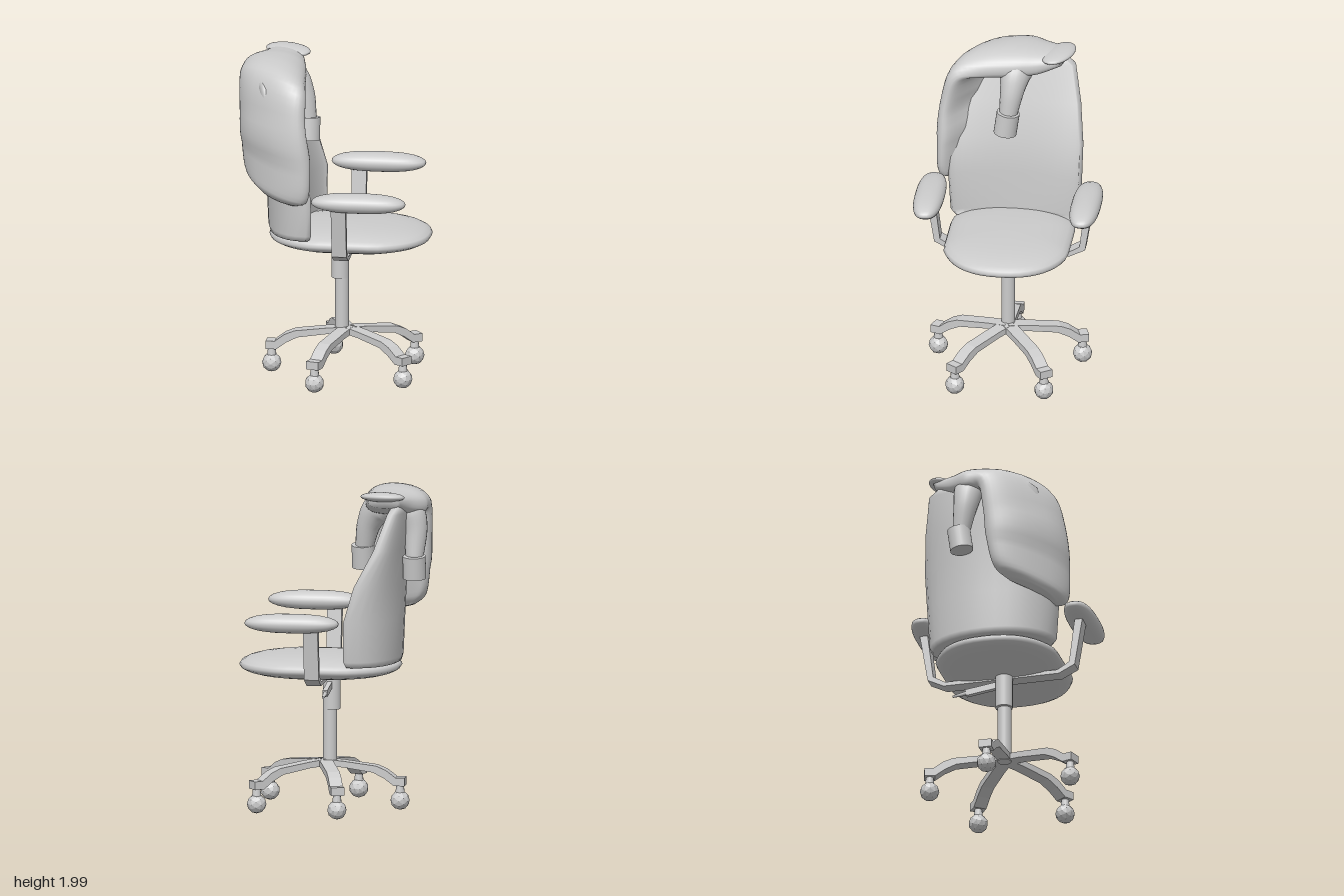
import * as THREE from 'three';

const V = (x, y, z) => new THREE.Vector3(x, y, z);
const material = new THREE.MeshStandardMaterial({ color: 0xcccccc, side: THREE.DoubleSide });
const flat = new THREE.MeshStandardMaterial({ color: 0xcccccc, flatShading: true });

function part(name, geometry, parent, mat = material) {
  const mesh = new THREE.Mesh(geometry, mat);
  mesh.name = name;
  parent.add(mesh);
  return mesh;
}

// Skin closed rings (counter-clockwise about the direction they advance) and cap both ends
function loft(rings) {
  const n = rings[0].length, pos = [], idx = [];
  rings.forEach(r => r.forEach(p => pos.push(p.x, p.y, p.z)));
  for (let j = 0; j < rings.length - 1; j++) {
    for (let i = 0; i < n; i++) {
      const a = j * n + i, b = j * n + (i + 1) % n;
      idx.push(a, b, b + n, a, b + n, a + n);
    }
  }
  for (const end of [0, rings.length - 1]) {
    const c = rings[end].reduce((s, p) => s.add(p), V(0, 0, 0)).divideScalar(n);
    const ci = pos.push(c.x, c.y, c.z) / 3 - 1;
    for (let i = 0; i < n; i++) {
      const a = end * n + i, b = end * n + (i + 1) % n;
      if (end) idx.push(a, b, ci); else idx.push(b, a, ci);
    }
  }
  const g = new THREE.BufferGeometry();
  g.setAttribute('position', new THREE.Float32BufferAttribute(pos, 3));
  g.setIndex(idx);
  g.computeVertexNormals();
  return g;
}

const power = (v, e) => Math.sign(v) * Math.abs(v) ** e;

// Lens-shaped cushion: a superellipse plan, optionally with clipped sides
function cushion(a, b, h, e, clip = b) {
  const rings = [];
  for (let j = 0; j <= 12; j++) {
    const t = -Math.PI / 2 + (0.03 + 0.94 * j / 12) * Math.PI;
    const s = Math.cos(t) ** 0.75;
    rings.push(Array.from({ length: 48 }, (_, i) => {
      const q = i / 48 * Math.PI * 2;
      const z = THREE.MathUtils.clamp(-b * power(Math.sin(q), 2 / e), -clip, clip);
      return V(a * power(Math.cos(q), 2 / e) * s, h * Math.sin(t), z * s);
    }));
  }
  return loft(rings);
}

// Tapered tube along a curve
function taperedTube(points, radii) {
  const curve = new THREE.CatmullRomCurve3(points), steps = 18;
  const f = curve.computeFrenetFrames(steps);
  const rings = [];
  for (let j = 0; j <= steps; j++) {
    const u = j / steps, t = curve.getUtoTmapping(u) * (radii.length - 1);
    const k = Math.min(Math.floor(t), radii.length - 2);
    const r = THREE.MathUtils.lerp(radii[k], radii[k + 1], t - k);
    const c = curve.getPointAt(u);
    rings.push(Array.from({ length: 20 }, (_, i) => {
      const q = i / 20 * Math.PI * 2;
      return c.clone().addScaledVector(f.normals[j], r * Math.cos(q)).addScaledVector(f.binormals[j], r * Math.sin(q));
    }));
  }
  return loft(rings);
}

// Flat outline [u, y] extruded to a width, centred on its thickness
function slab(points, width) {
  const shape = new THREE.Shape(points.map(p => new THREE.Vector2(...p)));
  return new THREE.ExtrudeGeometry(shape, { depth: width, bevelEnabled: false }).translate(0, 0, -width / 2);
}

// Five-legged base with ball casters
function buildBase(chair) {
  const base = new THREE.Group();
  base.name = 'base';
  base.position.set(0.07, 0, 0.02);
  const profile = [[0, 0.27], [0.12, 0.262], [0.3, 0.235], [0.37, 0.2], [0.43, 0.155], [0.495, 0.155],
    [0.495, 0.205], [0.44, 0.205], [0.38, 0.25], [0.32, 0.275], [0.12, 0.3], [0, 0.31]];
  for (let i = 0; i < 5; i++) {
    const leg = new THREE.Group();
    leg.name = 'leg';
    leg.rotation.y = Math.PI + i * Math.PI * 0.4;
    part('legArm', slab(profile, 0.08), leg, flat);
    part('casterStem', new THREE.CylinderGeometry(0.022, 0.03, 0.06, 10), leg).position.set(0.462, 0.132, 0);
    part('casterBall', new THREE.IcosahedronGeometry(0.059, 1), leg, flat).position.set(0.462, 0.064, 0);
    base.add(leg);
  }
  chair.add(base);
  part('lowerColumn', new THREE.CylinderGeometry(0.042, 0.042, 0.38, 24), chair).position.set(0.036, 0.45, 0.02);
  part('upperColumn', new THREE.CylinderGeometry(0.053, 0.053, 0.22, 24), chair).position.set(0.026, 0.725, 0.02);
  // Height lever
  const lever = new THREE.Group();
  lever.name = 'lever';
  lever.position.set(0.03, 0.77, -0.02);
  lever.rotation.x = -0.14;
  part('leverBar', new THREE.BoxGeometry(0.03, 0.04, 0.2), lever).position.z = -0.1;
  part('leverTip', new THREE.CylinderGeometry(0.007, 0.014, 0.09, 8).rotateX(-Math.PI / 2), lever).position.z = -0.24;
  chair.add(lever);
}

// Bent bracket and padded rest, one per side
function buildArms(chair) {
  const outline = [[0, 0.81], [0.36, 0.81], [0.46, 0.86], [0.515, 1.2], [0.465, 1.2], [0.425, 0.88], [0.35, 0.835], [0, 0.835]];
  for (const s of [-1, 1]) {
    const bracket = part('armBracket', slab(outline, 0.09), chair, flat);
    bracket.rotation.y = -s * Math.PI / 2;
    bracket.position.x = 0.077;
    part('armPad', cushion(0.288, 0.09, 0.057, 2.6), chair).position.set(0.196, 1.207, s * 0.477);
  }
}

// Curved shell: [y, half width, wing x, rear x, front x]
function buildBackrest(chair) {
  const rows = [[0.925, 0.37, -0.12, -0.4, -0.19], [0.96, 0.393, -0.105, -0.41, -0.19], [1.2, 0.408, -0.105, -0.42, -0.2],
    [1.42, 0.408, -0.17, -0.43, -0.22], [1.64, 0.38, -0.285, -0.45, -0.29], [1.86, 0.338, -0.365, -0.47, -0.35],
    [1.91, 0.27, -0.39, -0.46, -0.38]];
  const n = 16;
  const rings = rows.map(([y, w, xe, xb, xf]) => {
    const ring = [];
    for (let i = 0; i <= n; i++) {
      const q = (i / n - 0.5) * Math.PI;
      ring.push(V(xe - 0.03 + (xb - xe + 0.03) * Math.cos(q) ** 0.9, y, w * Math.sin(q)));
    }
    for (let i = 0; i <= n; i++) {
      const q = (0.5 - i / n) * Math.PI;
      ring.push(V(xe + (xf - xe) * Math.cos(q) ** 1.4, y, (w - 0.015) * Math.sin(q)));
    }
    return ring;
  });
  part('backrest', loft(rings), chair);
}

// Draped shirt: body sections between a rear edge and a front edge
function buildShirt(chair) {
  const shirt = new THREE.Group();
  shirt.name = 'drapedShirt';
  // rear edge, front edge, outward direction, [half thickness, bulge]
  const sections = [
    [[-0.45, 1.24, 0.18], [-0.19, 1.155, 0.4], [-0.65, 0, 0.75], [0.03, 0.05]],
    [[-0.52, 1.31, 0.11], [-0.13, 1.19, 0.45], [-0.65, 0, 0.75], [0.065, 0.045]],
    [[-0.55, 1.48, 0.07], [-0.112, 1.4, 0.46], [-0.65, 0, 0.75], [0.075, 0.045]],
    [[-0.565, 1.7, 0.05], [-0.145, 1.68, 0.44], [-0.65, 0.1, 0.75], [0.075, 0.045]],
    [[-0.575, 1.86, 0.02], [-0.145, 1.85, 0.375], [-0.42, 0.65, 0.55], [0.08, 0.035]],
    [[-0.575, 1.885, -0.03], [-0.16, 1.88, 0.22], [-0.1, 1, 0.2], [0.085, 0.025]],
    [[-0.57, 1.89, -0.08], [-0.18, 1.89, 0.02], [0, 1, 0], [0.088, 0.018]],
    [[-0.49, 1.91, -0.19], [-0.205, 1.9, -0.12], [0, 1, 0], [0.07, 0.01]],
    [[-0.43, 1.935, -0.3], [-0.24, 1.93, -0.26], [0, 1, -0.2], [0.04, 0]]];
  const [A, B, N, K] = [0, 1, 2, 3].map(k => new THREE.CatmullRomCurve3(
    sections.map(s => V(s[k][0], s[k][1], s[k][2] ?? 0))));
  const rings = [];
  for (let j = 0; j <= 40; j++) {
    const [a, b, n, k] = [A, B, N, K].map(c => c.getPoint(j / 40));
    n.normalize();
    rings.push(Array.from({ length: 36 }, (_, i) => {
      const q = -i / 36 * Math.PI * 2, c = power(Math.cos(q), 0.8);
      return a.clone().lerp(b, 0.5 + c / 2).addScaledVector(n, k.x * power(Math.sin(q), 0.8) + k.y * (1 - c * c));
    }));
  }
  part('shirtBody', loft(rings), shirt);

  // Sleeves hanging in front of and behind the backrest, each with a cuff
  part('frontSleeve', taperedTube([V(-0.36, 1.88, -0.01), V(-0.265, 1.85, 0.01), V(-0.205, 1.76, 0.025), V(-0.165, 1.58, 0.05)],
    [0.09, 0.1, 0.075, 0.052]), shirt);
  part('rearSleeve', taperedTube([V(-0.42, 1.88, -0.06), V(-0.47, 1.84, -0.07), V(-0.5, 1.75, -0.08), V(-0.5, 1.56, -0.11)],
    [0.09, 0.09, 0.075, 0.052]), shirt);
  for (const [x, y, z] of [[-0.162, 1.55, 0.055], [-0.5, 1.515, -0.115]]) {
    const cuff = part('cuff', new THREE.CylinderGeometry(0.07, 0.07, 0.14, 24), shirt);
    cuff.position.set(x, y, z);
    cuff.rotation.x = -0.14;
  }
  // Flared collar
  const collar = part('collar', new THREE.SphereGeometry(1, 28, 14), shirt);
  collar.scale.set(0.145, 0.03, 0.09);
  collar.position.set(-0.325, 1.957, -0.243);
  collar.rotation.set(0.1, -0.35, 0);
  chair.add(shirt);
}

export function createModel() {
  const chair = new THREE.Group();
  chair.name = 'officeChair';
  buildBase(chair);
  part('seat', cushion(0.492, 0.4, 0.075, 2.3, 0.38), chair).position.set(0.09, 0.892, 0.005);
  buildArms(chair);
  buildBackrest(chair);
  buildShirt(chair);
  return chair;
}
